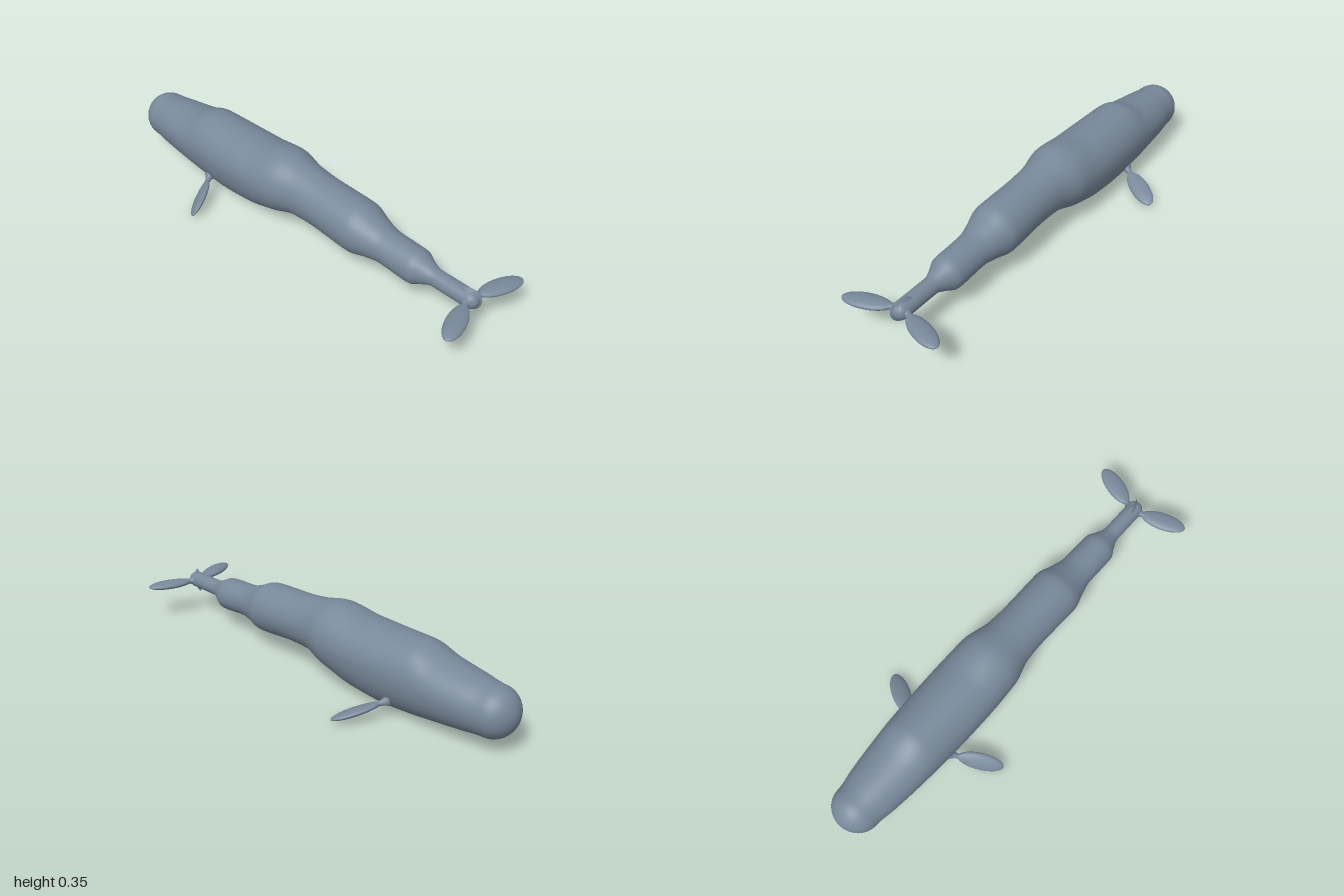
import * as THREE from 'three';

const SEG = 48;

// Skin over egg-shaped rings along +z: { z, c: centre y, w: half width, t: rise above c, b: drop below c }
function loft(rings) {
  const pos = [], idx = [];
  for (const { z, c, w, t, b } of rings) {
    for (let j = 0; j < SEG; j++) {
      const a = (j / SEG) * Math.PI * 2, s = Math.sin(a);
      pos.push(w * Math.cos(a), c + s * (s > 0 ? t : b), z);
    }
  }
  for (let i = 0; i < rings.length - 1; i++) {
    for (let j = 0; j < SEG; j++) {
      const a = i * SEG + j, b = i * SEG + ((j + 1) % SEG);
      idx.push(a, b, a + SEG, b, b + SEG, a + SEG);
    }
  }
  const geo = new THREE.BufferGeometry();
  geo.setAttribute('position', new THREE.Float32BufferAttribute(pos, 3));
  geo.setIndex(idx);
  geo.computeVertexNormals();
  return geo;
}

// Smooth interpolation of one column of a table without overshoot
function sample(rows, col, z) {
  let i = 0;
  while (i < rows.length - 2 && z > rows[i + 1][0]) i++;
  const secant = k => (rows[k + 1][col] - rows[k][col]) / (rows[k + 1][0] - rows[k][0]);
  const slope = k => {
    if (k === 0 || k === rows.length - 1) return 0;
    const p = secant(k - 1), q = secant(k);
    return p * q <= 0 ? 0 : (2 * p * q) / (p + q);
  };
  const h = rows[i + 1][0] - rows[i][0], u = (z - rows[i][0]) / h, v = 1 - u;
  return rows[i][col] * v * v * (1 + 2 * u) + rows[i + 1][col] * u * u * (3 - 2 * u)
    + h * u * v * (slope(i) * v - slope(i + 1) * u);
}

// Body stations: z, y of widest line, half width, top y, bottom y
const BODY = [
  [-0.90, 0.163, 0.107, 0.270, 0.056],
  [-0.80, 0.170, 0.121, 0.281, 0.044],
  [-0.66, 0.180, 0.135, 0.302, 0.026],
  [-0.55, 0.185, 0.142, 0.336, 0.012],
  [-0.40, 0.190, 0.148, 0.334, 0.002],
  [-0.24, 0.196, 0.150, 0.335, 0.014],
  [-0.09, 0.204, 0.146, 0.352, 0.053],
  [0.04, 0.206, 0.116, 0.328, 0.089],
  [0.14, 0.203, 0.111, 0.315, 0.090],
  [0.35, 0.190, 0.114, 0.303, 0.075],
  [0.43, 0.181, 0.092, 0.270, 0.091],
  [0.50, 0.174, 0.077, 0.248, 0.100],
  [0.65, 0.164, 0.075, 0.239, 0.089],
  [0.70, 0.164, 0.052, 0.217, 0.111],
  [0.745, 0.164, 0.037, 0.201, 0.127],
  [0.91, 0.163, 0.037, 0.200, 0.126],
];

function bodyGeometry() {
  const ring = (z, zOut = z, k = 1) => {
    const [c, w, top, bottom] = [1, 2, 3, 4].map(col => sample(BODY, col, z));
    return { z: zOut, c, w: w * k, t: (top - c) * k, b: (c - bottom) * k };
  };
  const rings = [], first = BODY[0][0], last = BODY[BODY.length - 1][0], N = 12;
  // Rounded nose, trunk, rounded tail end
  for (let i = 0; i < N; i++) {
    const a = (i / N) * Math.PI / 2;
    rings.push(ring(first, first - 0.1 * Math.cos(a), Math.max(Math.sin(a), 1e-3)));
  }
  for (let i = 0; i <= 130; i++) rings.push(ring(first + (last - first) * i / 130));
  for (let i = 1; i <= N; i++) {
    const a = (i / N) * Math.PI / 2;
    rings.push(ring(last, last + 0.037 * Math.sin(a), Math.max(Math.cos(a), 1e-3)));
  }
  return loft(rings);
}

// Flat oval blade on a slim neck that flares where it meets the body
function bladeGeometry(length, half, chord, thick, flare) {
  const rings = [], mid = length - half, N = 56;
  for (let i = 0; i <= N; i++) {
    const s = length * Math.sin((i / N) * Math.PI / 2);
    const e = Math.sqrt(Math.max(0, 1 - ((s - mid) / half) ** 2));
    const fade = s < mid ? 1 - (s / mid) ** 2 : 0;
    const neck = (0.009 + flare * Math.exp(-s / 0.022)) * fade;
    const w = Math.max(Math.hypot(chord * e, neck), 1e-4);
    const t = Math.max(Math.hypot(thick * e, neck), 1e-4);
    rings.push({ z: s, c: 0, w, t, b: t });
  }
  return loft(rings);
}

// Place a blade from root to tip, rolled about its own length
function blade(name, root, tip, roll, chord, thick, flare, material) {
  const from = new THREE.Vector3(...root), dir = new THREE.Vector3(...tip).sub(from);
  const length = dir.length();
  dir.normalize();
  const flat = new THREE.Vector3(0, 1, 0).cross(dir).normalize().applyAxisAngle(dir, roll);
  const normal = dir.clone().cross(flat);
  const mesh = new THREE.Mesh(bladeGeometry(length, 0.1, chord, thick, flare), material);
  mesh.name = name;
  mesh.quaternion.setFromRotationMatrix(new THREE.Matrix4().makeBasis(flat, normal, dir));
  mesh.position.copy(from);
  return mesh;
}

export function createModel() {
  const skin = new THREE.MeshStandardMaterial({ color: 0x778899 });
  skin.name = 'slate grey skin';

  const whale = new THREE.Group();
  whale.name = 'whale';

  const body = new THREE.Mesh(bodyGeometry(), skin);
  body.name = 'body';
  whale.add(body);

  // Tail flukes and side flippers; the two flippers are rolled differently
  for (const [side, s, roll] of [['left', 1, 0.26], ['right', -1, 0.82]]) {
    whale.add(
      blade(side + 'Fluke', [0, 0.162, 0.9], [s * 0.235, 0.162, 0.982], 0, 0.042, 0.018, 0.045, skin),
      blade(side + 'Flipper', [s * 0.115, 0.08, -0.475], [s * 0.318, 0.024, -0.357], roll, 0.042, 0.016, 0.015, skin),
    );
  }
  return whale;
}
